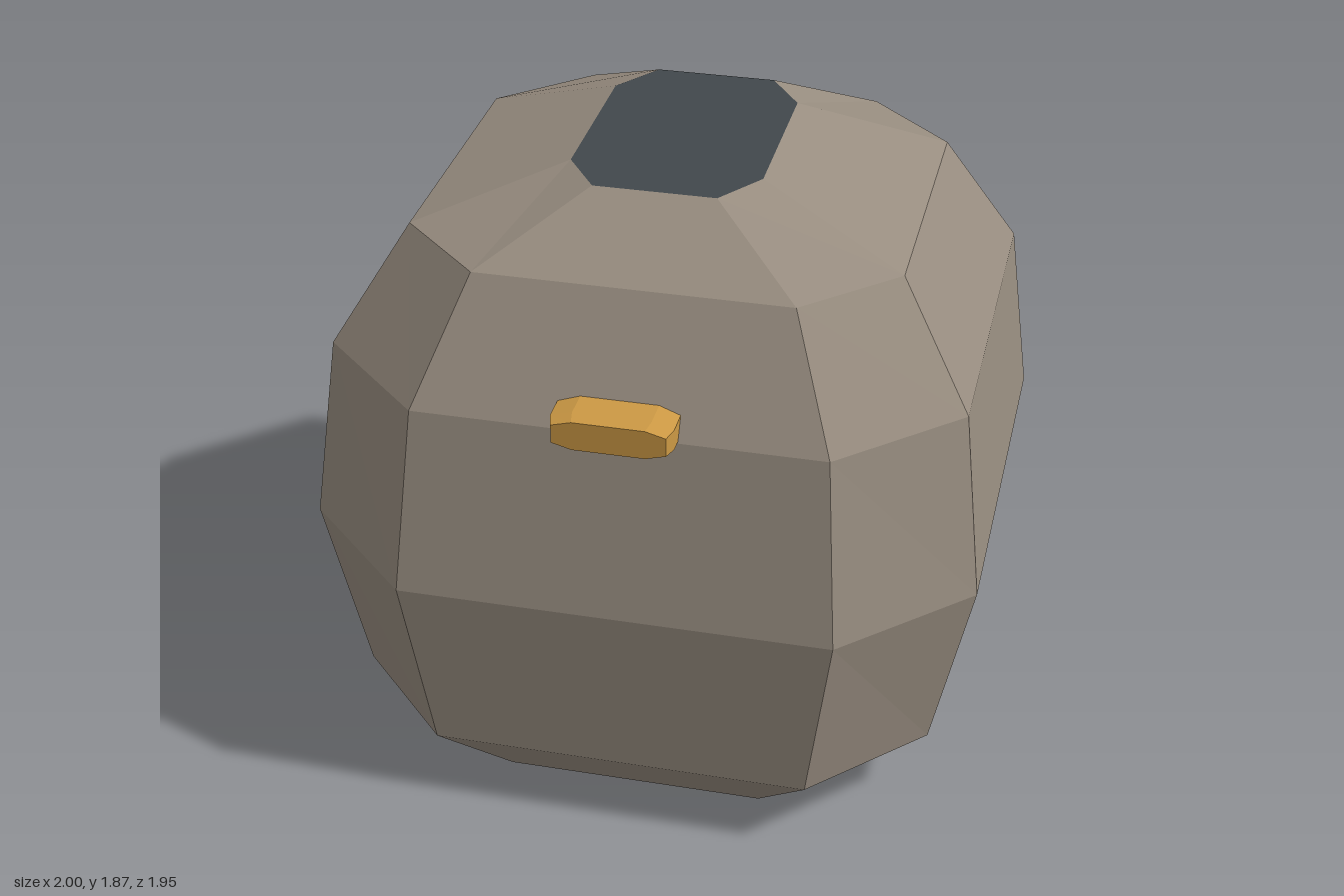
import * as THREE from 'three';

// Chamfered rectangle ring, counterclockwise seen from +y
const CUT = 0.64;
function ring([y, hx, hz]) {
  const cx = hx * CUT, cz = hz * CUT;
  return [[hx, cz], [hx, -cz], [cx, -hz], [-cx, -hz], [-hx, -cz], [-hx, cz], [-cx, hz], [cx, hz]]
    .map(([x, z]) => new THREE.Vector3(x, y, z));
}

// Unshared corners give crisp facets
function facets(points) {
  const g = new THREE.BufferGeometry().setFromPoints(points);
  g.computeVertexNormals();
  return g;
}

// Faceted side wall through a stack of [y, halfX, halfZ] rings
function wall(levels) {
  const rings = levels.map(ring), pts = [];
  for (let k = 0; k + 1 < rings.length; k++) {
    const lo = rings[k], hi = rings[k + 1];
    for (let i = 0; i < 8; i++) {
      const j = (i + 1) % 8;
      pts.push(lo[i], lo[j], hi[i], lo[j], hi[j], hi[i]);
    }
  }
  return facets(pts);
}

// Flat end face of a stack
function cap(level, up) {
  const r = ring(level), pts = [];
  for (let i = 1; i < 7; i++) pts.push(r[0], up ? r[i] : r[i + 1], up ? r[i + 1] : r[i]);
  return facets(pts);
}

export function createModel() {
  const model = new THREE.Group();
  model.name = 'facetedPod';

  const shellColour = new THREE.MeshStandardMaterial({ color: 0x988d80 });
  shellColour.name = 'warm grey';
  const slate = new THREE.MeshStandardMaterial({ color: 0x41484c });
  slate.name = 'dark slate';
  const amber = new THREE.MeshStandardMaterial({ color: 0xcc9944 });
  amber.name = 'amber';

  const add = (parent, name, geometry, material) => {
    const mesh = new THREE.Mesh(geometry, material);
    mesh.name = name;
    parent.add(mesh);
  };

  // Main shell with dark end faces
  const body = [
    [0, 0.61, 0.73],
    [0.225, 0.88, 0.92],
    [0.79, 1.0, 0.973],
    [1.35, 0.935, 0.88],
    [1.705, 0.72, 0.685],
    [1.87, 0.282, 0.41],
  ];
  add(model, 'shell', wall(body), shellColour);
  add(model, 'topPlate', cap(body[body.length - 1], true), slate);
  add(model, 'basePlate', cap(body[0], false), slate);

  // Small bevelled marker bar on the front
  const bar = [
    [0.78, 0.165, 0.044],
    [0.82, 0.175, 0.049],
    [0.92, 0.175, 0.049],
    [0.965, 0.162, 0.044],
  ];
  const marker = new THREE.Group();
  marker.name = 'frontMarker';
  add(marker, 'markerSides', wall(bar), amber);
  add(marker, 'markerFace', cap(bar[bar.length - 1], true), amber);
  add(marker, 'markerBack', cap(bar[0], false), amber);
  marker.rotation.x = Math.PI / 2;
  marker.position.y = 1.387;
  model.add(marker);

  return model;
}
